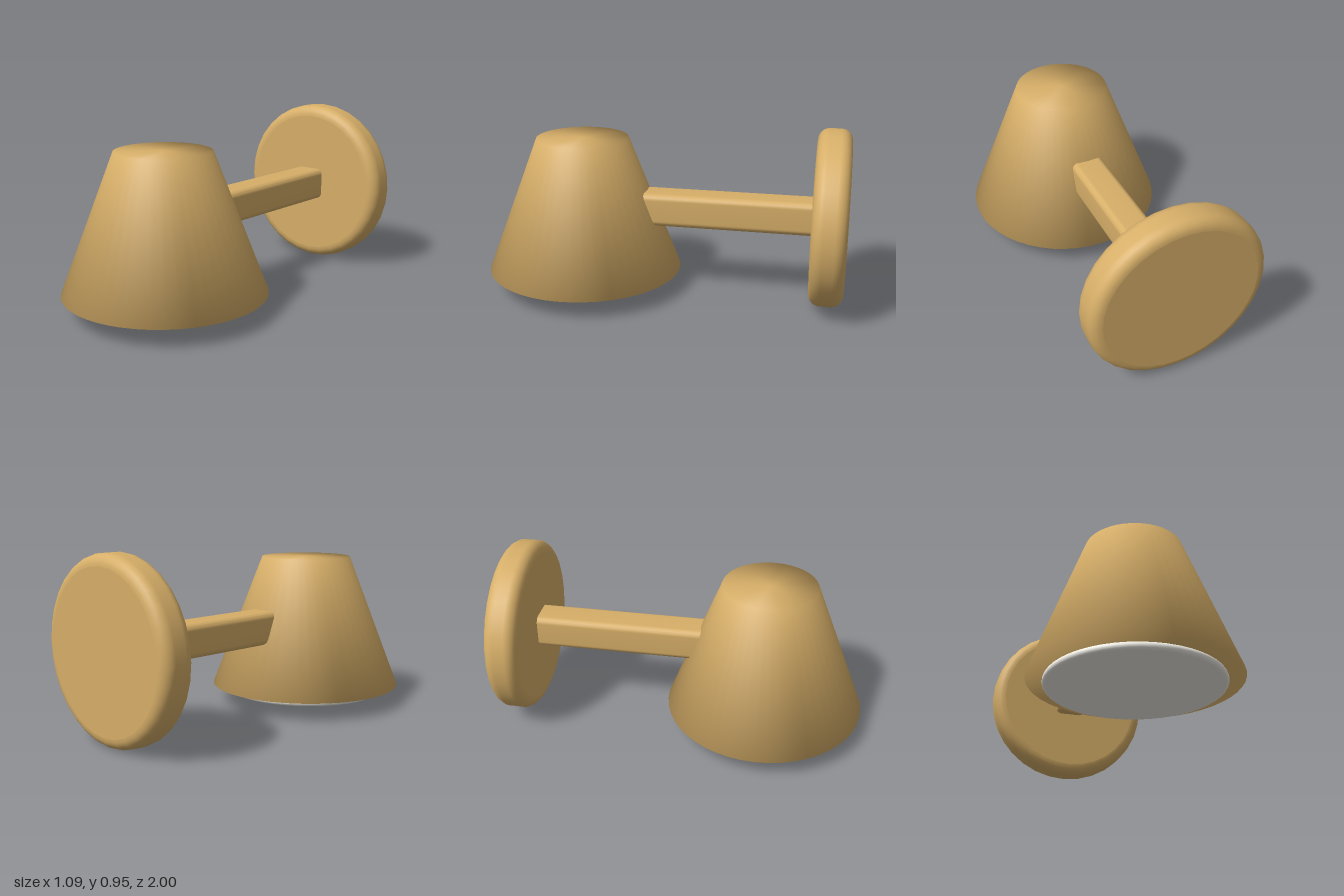
import * as THREE from 'three';
import { toCreasedNormals } from 'three/addons/utils/BufferGeometryUtils.js';

const brass = new THREE.MeshStandardMaterial({ color: 0xd6ae68 });
const white = new THREE.MeshStandardMaterial({ color: 0xf2f0e8 });

function addPart(group, name, geometry, material, x, y, z) {
  const mesh = new THREE.Mesh(geometry, material);
  mesh.name = name;
  mesh.position.set(x, y, z);
  group.add(mesh);
  return mesh;
}

// Solid disc along y from 0 to height, with a rounded rim
function roundedDisc(radius, height, round, segments) {
  const points = [new THREE.Vector2(0, 0), new THREE.Vector2(radius - round - 0.002, 0)];
  const steps = 6;
  for (const [centre, start] of [[round, -Math.PI / 2], [height - round, 0]]) {
    for (let i = 0; i <= steps; i++) {
      const a = start + (i / steps) * Math.PI / 2;
      points.push(new THREE.Vector2(radius - round + round * Math.cos(a), centre + round * Math.sin(a)));
    }
    // a fully rounded rim shares its middle point
    if (start < 0 && height <= 2 * round) points.pop();
  }
  points.push(new THREE.Vector2(radius - round - 0.002, height), new THREE.Vector2(0, height));
  return new THREE.LatheGeometry(points, segments);
}

// Square bar along z with rounded long edges
function roundedBar(size, round, length) {
  const h = size / 2, c = h - round;
  const shape = new THREE.Shape();
  shape.absarc(c, c, round, 0, Math.PI / 2);
  shape.absarc(-c, c, round, Math.PI / 2, Math.PI);
  shape.absarc(-c, -c, round, Math.PI, Math.PI * 1.5);
  shape.absarc(c, -c, round, Math.PI * 1.5, Math.PI * 2);
  const bar = new THREE.ExtrudeGeometry(shape, { depth: length, bevelEnabled: false, curveSegments: 5 });
  return toCreasedNormals(bar, Math.PI / 5);
}

export function createModel() {
  const lamp = new THREE.Group();
  lamp.name = 'wallLamp';
  const shadeZ = 0.455;

  // Round wall plate
  const plate = addPart(lamp, 'wallPlate', roundedDisc(0.476, 0.18, 0.06, 32), brass, 0, 0.478, -1);
  plate.rotation.x = Math.PI / 2;

  // Arm from the plate into the shade
  addPart(lamp, 'arm', roundedBar(0.182, 0.035, 1.1), brass, 0, 0.479, -0.85);

  // Closed tapered shade, softly shaded over its rims
  const profile = [[0, 0.105], [0.543, 0.105], [0.255, 0.852], [0, 0.852]];
  const shade = new THREE.LatheGeometry(profile.map(([r, y]) => new THREE.Vector2(r, y)), 48);
  addPart(lamp, 'shade', shade, brass, 0, 0, shadeZ);

  // Light diffuser below the shade
  addPart(lamp, 'diffuser', roundedDisc(0.458, 0.041, 0.0195, 48), white, 0, 0.065, shadeZ);

  return lamp;
}
